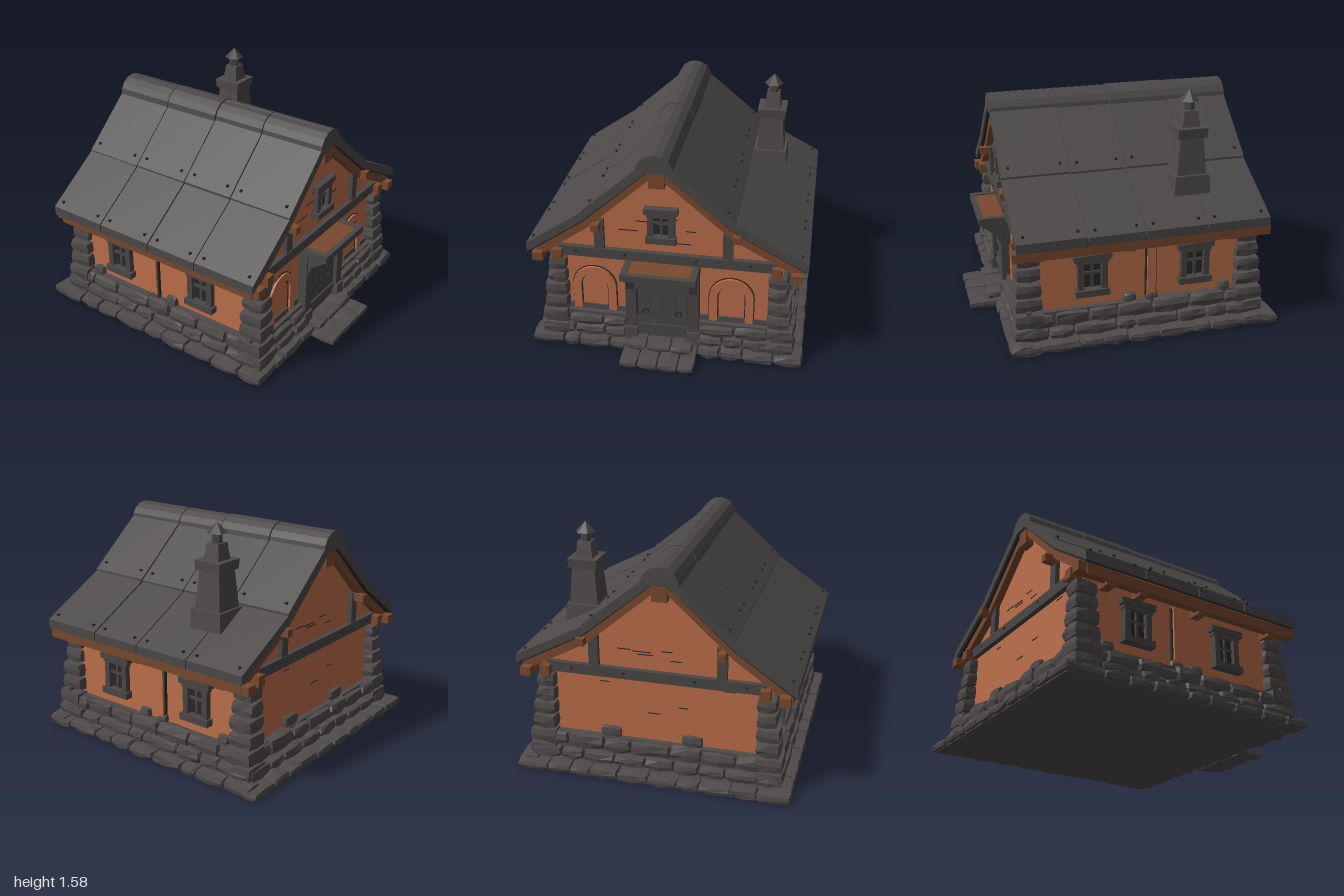
import * as THREE from 'three';

const mat = (name, color) => Object.assign(new THREE.MeshStandardMaterial({ color }), { name });

export function createModel() {
  const M = {
    slate: mat('roof slate', 0x4c4948),
    stone: mat('stone', 0x4f4b4a),
    timber: mat('grey timber', 0x4a4646),
    plaster: mat('orange plaster', 0xbd6f4a),
    wood: mat('brown wood', 0x79492f),
    ink: mat('dark gap', 0x2b2727),
  };
  const root = new THREE.Group();
  root.name = 'cottage';
  let seed = 7;
  const rnd = () => (seed = (seed * 16807) % 2147483647) / 2147483647;
  const group = (name, parent = root) => {
    const g = new THREE.Group();
    g.name = name;
    parent.add(g);
    return g;
  };
  const add = (parent, name, geo, m) => {
    const mesh = new THREE.Mesh(geo, m);
    mesh.name = name;
    parent.add(mesh);
    return mesh;
  };
  const box = (parent, name, m, w, h, d, x, y, z) => {
    const b = add(parent, name, new THREE.BoxGeometry(w, h, d), m);
    b.position.set(x, y, z);
    return b;
  };
  // Flat outline extruded from z0 to z1
  const prism = (parent, name, m, pts, z0, z1) => {
    const shape = pts instanceof THREE.Shape ? pts : new THREE.Shape(pts.map(p => new THREE.Vector2(p[0], p[1])));
    const geo = new THREE.ExtrudeGeometry(shape, { depth: z1 - z0, bevelEnabled: false, curveSegments: 6 });
    geo.translate(0, 0, z0);
    return add(parent, name, geo, m);
  };
  // Hewn stone: a box with worn corners and a slight random skew
  const stone = (parent, w, h, d, x, y, z, wear = 0.1) => {
    const g = new THREE.BoxGeometry(w, h, d, 2, 2, 2), p = g.attributes.position, memo = {};
    const size = Math.min(w, h, d);
    for (let i = 0; i < p.count; i++) {
      const c = [p.getX(i), p.getY(i), p.getZ(i)];
      const key = c.map(v => Math.sign(Math.round(v * 1e4))).join();
      const ends = key.split(',').filter(v => v !== '0').length;
      memo[key] ??= c.map(v => v - Math.sign(v) * size * wear * (ends - 1) * (0.5 + rnd() * 0.7)
        + (rnd() - 0.5) * size * wear * 0.8);
      p.setXYZ(i, ...memo[key]);
    }
    const flat = g.toNonIndexed();
    flat.computeVertexNormals();
    const s = add(parent, 'stone', flat, M.stone);
    s.position.set(x, y, z);
    return s;
  };
  // Row of stones of uneven length along x or z
  const stoneRow = (parent, axis, from, to, fixed, y, h, depth, length) => {
    const n = Math.max(1, Math.round((to - from) / length));
    const cuts = Array.from({ length: n + 1 }, (_, i) =>
      from + (to - from) * (i + (i && i < n ? (rnd() - 0.5) * 0.5 : 0)) / n);
    for (let i = 0; i < n; i++) {
      const l = cuts[i + 1] - cuts[i], c = (cuts[i] + cuts[i + 1]) / 2, hh = h * (0.92 + rnd() * 0.2);
      if (axis === 'x') stone(parent, l, hh, depth, c, y + hh / 2, fixed);
      else stone(parent, depth, hh, l, fixed, y + hh / 2, c);
    }
  };

  // Roof line from eave to eave; everything under the roof follows it
  const line = [[-0.92, 0.76], [-0.53, 1.03], [-0.06, 1.45], [0.45, 1.03], [0.915, 0.785]];
  const band = (pts, a, b) => [...pts.map(p => [p[0], p[1] - a]), ...pts.map(p => [p[0], p[1] - b]).reverse()];

  // Plastered body
  const walls = group('walls');
  prism(walls, 'plasterBody', M.plaster, [[-0.76, 0.1], [-0.76, 0.75], [-0.53, 0.91], [-0.06, 1.33],
    [0.45, 0.91], [0.76, 0.75], [0.76, 0.1]], -0.8, 0.7);
  for (const s of [-1, 1]) {
    box(walls, 'wallStripEdge', M.ink, 0.03, 0.41, 0.075, s * 0.765, 0.445, -0.125);
    box(walls, 'wallStrip', M.plaster, 0.04, 0.42, 0.058, s * 0.775, 0.445, -0.125);
  }
  for (let i = 0; i < 16; i++) {
    const back = i > 5, x = (rnd() - 0.5) * (back ? 1.1 : 0.5);
    box(walls, 'plasterCrack', M.ink, 0.05 + rnd() * 0.08, 0.006, 0.006, x,
      back ? 0.32 + rnd() * 0.6 : 0.8 + rnd() * 0.3, back ? -0.8 : 0.7);
  }

  // Blind arches either side of the door
  for (const x of [-0.49, 0.43]) {
    const arch = group('blindArch', walls);
    const ring = (outer, inner) => {
      const s = new THREE.Shape();
      s.moveTo(outer, 0.25).lineTo(outer, 0.44).absarc(0, 0.44, outer, 0, Math.PI).lineTo(-outer, 0.25)
        .lineTo(-inner, 0.25).lineTo(-inner, 0.44).absarc(0, 0.44, inner, Math.PI, 0, true).lineTo(inner, 0.25);
      return s;
    };
    prism(arch, 'archOutline', M.ink, ring(0.152, 0.086), 0.69, 0.706);
    prism(arch, 'archTrim', M.plaster, ring(0.146, 0.093), 0.69, 0.72);
    arch.position.x = x;
  }

  // Foundation stones
  const base = group('foundation');
  box(base, 'groundSlab', M.stone, 1.76, 0.04, 1.74, 0, 0.02, -0.09);
  box(base, 'foundationCore', M.stone, 1.6, 0.24, 1.58, 0, 0.12, -0.05);
  stoneRow(base, 'x', -0.92, 0.92, 0.755, 0, 0.075, 0.15, 0.19);
  stoneRow(base, 'x', -0.92, 0.92, -0.92, 0, 0.06, 0.14, 0.19);
  for (const s of [-1, 1]) {
    stoneRow(base, 'z', -0.94, 0.8, s * 0.85, 0, 0.07, 0.14, 0.2);
    stoneRow(base, 'z', -0.87, 0.76, s * 0.81, 0.06, 0.085, 0.1, 0.2);
    stoneRow(base, 'z', -0.86, 0.75, s * 0.795, 0.14, 0.1, 0.09, 0.22);
    for (const z of [0.02, -0.13, -0.64]) stone(base, 0.06, 0.08, 0.09, s * 0.77, 0.255, z);
  }
  for (const [a, b] of [[-0.84, -0.27], [0.22, 0.84]]) {
    stoneRow(base, 'x', a, b, 0.745, 0.07, 0.08, 0.1, 0.17);
    stoneRow(base, 'x', a, b, 0.735, 0.145, 0.08, 0.09, 0.2);
    box(base, 'wallFooting', M.stone, b - a, 0.06, 0.03, (a + b) / 2, 0.25, 0.695);
  }
  stoneRow(base, 'x', -0.84, 0.84, -0.86, 0.06, 0.08, 0.1, 0.19);
  stoneRow(base, 'x', -0.82, 0.82, -0.84, 0.14, 0.1, 0.09, 0.22);
  for (const x of [-0.25, 0.3]) stone(base, 0.14, 0.08, 0.05, x, 0.27, -0.81);

  // Tapered corner piers of stacked blocks
  for (const sx of [-1, 1]) for (const front of [true, false]) {
    const pier = group('cornerPier'), n = 6;
    for (let i = 0; i < n; i++) {
      const t = i / (n - 1), w = 0.19 - 0.07 * t + (i % 2) * 0.01, d = 0.2 - 0.045 * t, h = 0.1;
      stone(pier, w, h, d, sx * (0.665 + w / 2), 0.06 + h * (i + 0.5),
        front ? 0.795 - 0.035 * t - d / 2 : -0.9 + 0.035 * t + d / 2, 0.07);
    }
  }

  // Timber framing on both gables
  for (const [z, s] of [[0.705, 1], [-0.805, -1]]) {
    const frame = group(s > 0 ? 'frontFraming' : 'backFraming');
    box(frame, 'crossBeam', M.timber, 1.44, 0.07, 0.06, 0, 0.71, z);
    for (const x of [-0.44, 0.4]) box(frame, 'gablePost', M.timber, 0.065, 0.22, 0.05, x, 0.85, z);
    for (const x of [-0.6, -0.27, 0.2, 0.55]) box(frame, 'peg', M.ink, 0.016, 0.016, 0.016, x, 0.715, z + s * 0.026);
  }

  // Roof: brown boarding, dark underlay, separate slate slabs and ridge caps
  const roof = group('roof');
  prism(roof, 'roofBoarding', M.wood, band(line.map(p => [p[0] * 0.965, p[1]]), 0.06, 0.125), -0.85, 0.75);
  prism(roof, 'roofUnderlay', M.ink, band(line.map(p => [p[0] * 0.985, p[1]]), 0.025, 0.065), -0.87, 0.765);
  const seams = [-0.885, -0.455, -0.045, 0.33, 0.78];
  for (let i = 0; i < 4; i++) {
    const z0 = seams[i] + 0.004, z1 = seams[i + 1] - 0.004;
    for (const [a, b] of [[0, 1], [1, 2], [2, 3], [3, 4]]) {
      const upper = a === 1 || a === 2, lift = (upper ? 0.012 : 0) + rnd() * 0.008;
      prism(roof, upper ? 'upperSlate' : 'lowerSlate', M.slate, band([line[a], line[b]], -lift, 0.058), z0, z1);
      const e = line[a === 0 || a === 1 ? a : b], k = a < 2 ? a : b, o = a < 2 ? b : a;
      for (const z of [z0 + 0.05, z1 - 0.05]) {
        const t = 0.1;
        box(roof, 'slateNail', M.ink, 0.016, 0.014, 0.016, e[0] + (line[o][0] - line[k][0]) * t,
          e[1] + (line[o][1] - line[k][1]) * t + lift + 0.004, z);
      }
    }
    const r = 0.122 + rnd() * 0.006;
    const cap = Array.from({ length: 9 }, (_, j) => [-0.06 + r * Math.cos(j * Math.PI / 8), 1.345 + r * Math.sin(j * Math.PI / 8)]);
    prism(roof, 'ridgeCap', M.slate, cap, z0, z1);
  }
  // Purlins and rafter ends
  box(roof, 'ridgeBeam', M.wood, 0.1, 0.13, 1.62, -0.05, 1.3, -0.05);
  for (const s of [-1, 1]) {
    box(roof, 'eavePurlin', M.wood, 0.07, 0.06, 1.7, s * 0.845, 0.68, -0.055);
    box(roof, 'wallPlate', M.wood, 0.065, 0.07, 1.66, s * 0.72, 0.695, -0.055);
    box(roof, 'middlePurlin', M.wood, 0.05, 0.05, 1.7, s < 0 ? -0.45 : 0.46, 0.93, -0.055);
    for (const z of [0.62, 0.03, -0.42, -0.66]) box(roof, 'rafterEnd', M.wood, 0.12, 0.065, 0.06, s * 0.79, 0.66, z);
  }

  // Chimney: square tapered sections stacked up, with a pointed cowl
  const chimney = group('chimney');
  const section = (name, y0, y1, w0, w1, sides = 4, m = M.stone) => {
    const k = sides === 4 ? Math.SQRT1_2 : 0.5;
    const g = new THREE.CylinderGeometry(w1 * k, w0 * k, y1 - y0, sides).toNonIndexed();
    g.rotateY(Math.PI / sides);
    g.computeVertexNormals();
    add(chimney, name, g, m).position.y = (y0 + y1) / 2;
  };
  section('flaredFoot', 0.86, 1.03, 0.25, 0.23);
  section('shaft', 1.03, 1.28, 0.195, 0.155);
  section('collar', 1.275, 1.34, 0.19, 0.2);
  section('upperStack', 1.34, 1.43, 0.12, 0.09);
  section('neck', 1.43, 1.51, 0.07, 0.07, 6, M.timber);
  section('neckRing', 1.42, 1.445, 0.1, 0.09);
  section('cowl', 1.505, 1.575, 0.135, 0.004, 6, M.timber);
  chimney.position.set(0.57, 0, -0.425);

  // Shuttered windows, built facing +z
  const makeWindow = (name, w, h, x, y, z, turn) => {
    const g = group(name), iw = w * 0.62, ih = h - 0.1;
    box(g, 'pane', M.ink, iw, ih, 0.008, 0, 0, 0.004);
    for (const s of [-1, 1]) box(g, 'jamb', M.timber, 0.04, ih + 0.02, 0.045, s * iw / 2, 0, 0.015);
    box(g, 'lintel', M.timber, w, 0.04, 0.06, 0, h / 2 - 0.02, 0.02).rotation.z = 0.03;
    box(g, 'lintelBoard', M.timber, w * 0.85, 0.03, 0.05, 0, h / 2 - 0.05, 0.015);
    box(g, 'sill', M.timber, w * 0.9, 0.045, 0.065, 0, -h / 2 + 0.022, 0.022);
    box(g, 'mullion', M.timber, 0.018, ih, 0.02, 0, 0, 0.01);
    box(g, 'transom', M.timber, iw, 0.018, 0.02, 0, 0.01, 0.01);
    g.position.set(x, y, z);
    g.rotation.y = turn;
  };
  makeWindow('gableWindow', 0.22, 0.25, -0.03, 0.955, 0.7, 0);
  for (const s of [-1, 1]) for (const z of [0.27, -0.425])
    makeWindow('sideWindow', 0.25, 0.29, s * 0.76, 0.465, z, s * Math.PI / 2);

  // Doorway with planked door, canopy and steps
  const door = group('doorway');
  box(door, 'doorBacking', M.ink, 0.36, 0.5, 0.04, -0.025, 0.32, 0.705);
  for (let i = 0; i < 4; i++) box(door, 'doorPlank', M.timber, 0.081, 0.39, 0.04, -0.15 + i * 0.084, 0.29, 0.72);
  for (const y of [0.17, 0.45]) box(door, 'doorRail', M.timber, 0.33, 0.04, 0.02, -0.025, y, 0.742);
  for (const x of [-0.14, 0.085]) {
    const ring = add(door, 'doorRing', new THREE.TorusGeometry(0.02, 0.005, 5, 10), M.ink);
    ring.position.set(x, 0.29, 0.745);
  }
  box(door, 'lintelPanel', M.wood, 0.37, 0.1, 0.03, -0.025, 0.57, 0.75).rotation.x = 0.2;
  box(door, 'doorLintel', M.timber, 0.38, 0.05, 0.07, -0.025, 0.5, 0.725);
  for (const x of [-0.235, 0.185]) {
    box(door, 'doorPost', M.timber, 0.07, 0.56, 0.09, x, 0.36, 0.72);
    box(door, 'postFoot', M.stone, 0.085, 0.1, 0.11, x, 0.12, 0.725);
    const brace = prism(door, 'canopyBrace', M.timber,
      [[-0.74, 0.47], [-0.765, 0.47], [-0.79, 0.54], [-0.9, 0.625], [-0.9, 0.65], [-0.74, 0.65]], -0.025, 0.025);
    brace.rotation.y = Math.PI / 2;
    brace.position.x = x;
  }
  box(door, 'canopyTop', M.wood, 0.42, 0.025, 0.19, -0.025, 0.655, 0.795);
  box(door, 'canopyFront', M.timber, 0.49, 0.045, 0.035, -0.025, 0.65, 0.89);
  for (const x of [-0.25, 0.2]) box(door, 'canopySide', M.timber, 0.04, 0.04, 0.2, x, 0.655, 0.8);
  stoneRow(door, 'x', -0.28, 0.22, 0.91, 0, 0.05, 0.18, 0.125);
  stoneRow(door, 'x', -0.24, 0.19, 0.8, 0.045, 0.05, 0.14, 0.15);

  return root;
}
